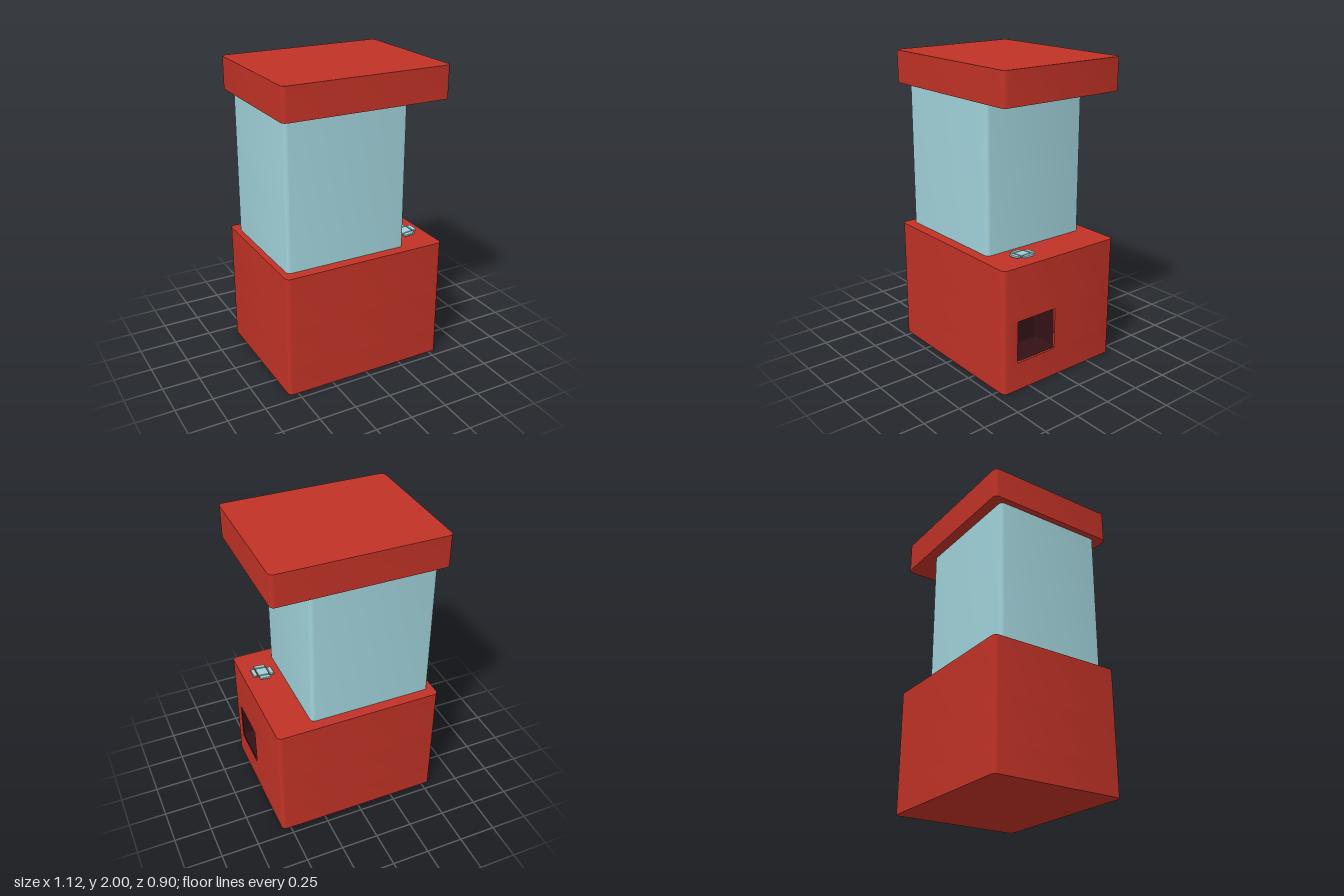
import * as THREE from 'three';
import { toCreasedNormals } from 'three/addons/utils/BufferGeometryUtils.js';
import { RoundedBoxGeometry } from 'three/addons/geometries/RoundedBoxGeometry.js';

const paint = (name, color, side = THREE.FrontSide) => {
  const m = new THREE.MeshStandardMaterial({ color, side });
  m.name = name;
  return m;
};

// Plan outline with rounded corners; an optional notch opens the +x side.
function plan(x0, x1, halfDepth, r, notch) {
  const s = new THREE.Shape();
  const d = halfDepth;
  s.moveTo(x0 + r, -d);
  s.lineTo(x1 - r, -d);
  s.absarc(x1 - r, -d + r, r, -Math.PI / 2, 0);
  if (notch) {
    s.lineTo(x1, -notch.z1);
    s.lineTo(notch.x, -notch.z1);
    s.lineTo(notch.x, -notch.z0);
    s.lineTo(x1, -notch.z0);
  }
  s.lineTo(x1, d - r);
  s.absarc(x1 - r, d - r, r, 0, Math.PI / 2);
  s.lineTo(x0 + r, d);
  s.absarc(x0 + r, d - r, r, Math.PI / 2, Math.PI);
  s.lineTo(x0, -d + r);
  s.absarc(x0 + r, -d + r, r, Math.PI, Math.PI * 1.5);
  return s;
}

function slab(name, shape, y0, y1, material) {
  const g = new THREE.ExtrudeGeometry(shape, { depth: y1 - y0, bevelEnabled: false, curveSegments: 4 });
  g.rotateX(-Math.PI / 2);
  g.translate(0, y0, 0);
  const mesh = new THREE.Mesh(toCreasedNormals(g, 0.6), material);
  mesh.name = name;
  return mesh;
}

export function createModel() {
  const red = paint('cabinet red', 0xc03226);
  const glass = paint('pale blue glass', 0xa0d2da);
  const dark = paint('chute dark', 0x331114, THREE.BackSide);

  const model = new THREE.Group();
  model.name = 'clawMachine';

  // Cabinet: three stacked slabs, the middle one notched for the prize chute
  const x0 = -0.562, x1 = 0.558, d = 0.452, r = 0.03;
  const notch = { x: 0.375, z0: 0.043, z1: 0.345 };
  const cabinet = new THREE.Group();
  cabinet.name = 'cabinet';
  cabinet.add(
    slab('cabinetBottom', plan(x0, x1, d, r), 0, 0.19, red),
    slab('cabinetMiddle', plan(x0, x1, d, r, notch), 0.19, 0.47, red),
    slab('cabinetTop', plan(x0, x1, d, r), 0.47, 0.825, red)
  );
  model.add(cabinet);

  // Chute lining, seen only from inside
  const chute = new THREE.Mesh(new RoundedBoxGeometry(0.184, 0.279, 0.3, 3, 0.022), dark);
  chute.name = 'prizeChute';
  chute.position.set(0.469, 0.33, 0.194);
  model.add(chute);

  // Glass case and roof
  model.add(slab('glassCase', plan(-0.522, 0.306, 0.381, 0.028), 0.825, 1.79, glass));
  model.add(slab('roof', plan(x0, x1, d, r), 1.79, 2, red));

  // Tilted control pad: a centre key with four keys around it
  const pad = new THREE.Group();
  pad.name = 'controlPad';
  pad.position.set(0.427, 0.839, 0.205);
  pad.rotation.z = 0.1;
  const key = (name, w, depth, x, z) => {
    const mesh = new THREE.Mesh(new RoundedBoxGeometry(w, 0.014, depth, 2, 0.004), glass);
    mesh.name = name;
    mesh.position.set(x, 0, z);
    pad.add(mesh);
  };
  key('centreKey', 0.075, 0.075, 0, 0);
  for (const s of [-1, 1]) {
    key('sideKey', 0.028, 0.075, s * 0.058, 0);
    key('endKey', 0.075, 0.028, 0, s * 0.058);
  }
  model.add(pad);

  return model;
}
